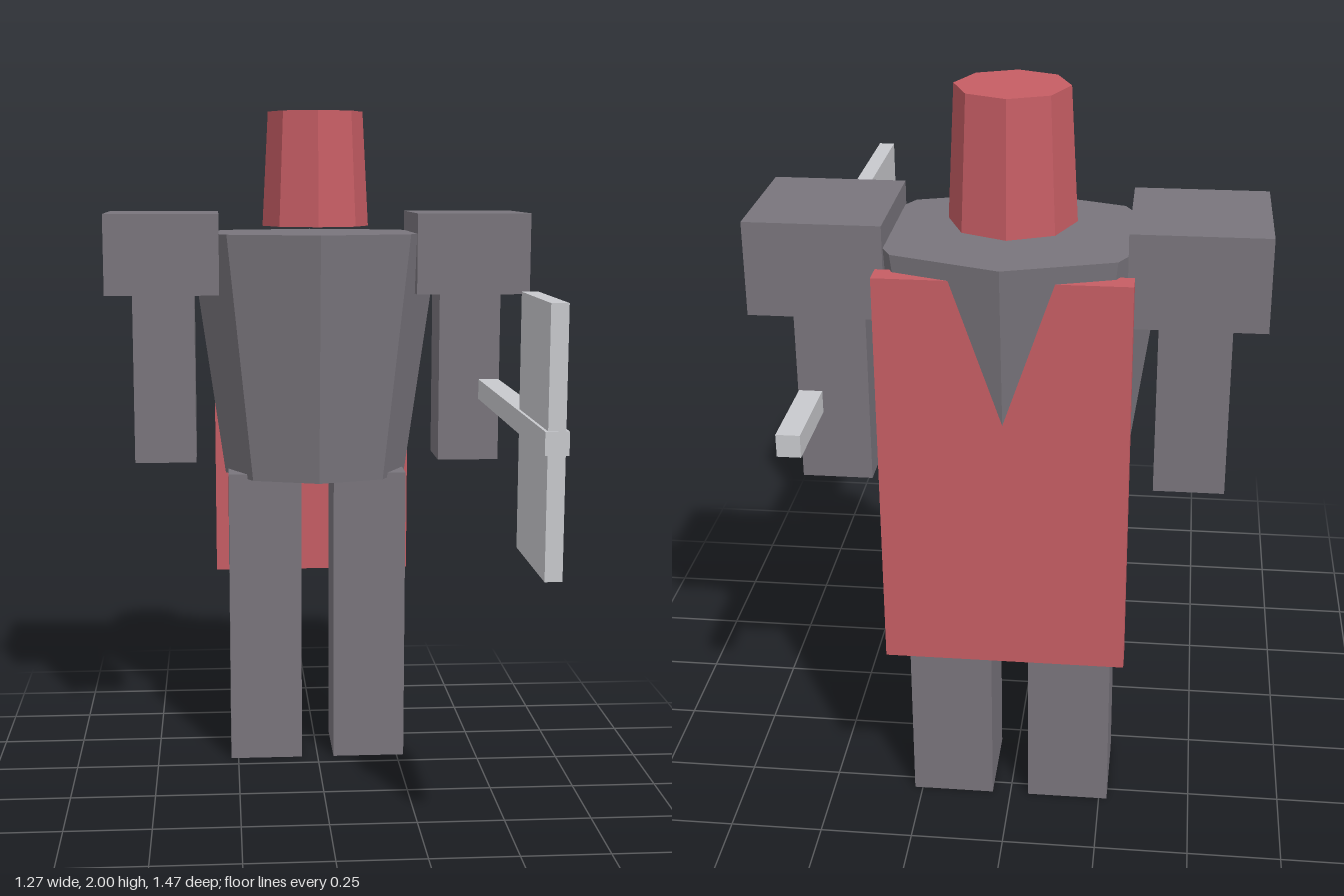
import * as THREE from 'three';

const flat = (name, color) => {
  const m = new THREE.MeshStandardMaterial({ color });
  m.name = name;
  m.flatShading = true;
  return m;
};

export function createModel() {
  const model = new THREE.Group();
  model.name = 'knight';
  const armour = flat('dark grey armour', 0x79757c);
  const red = flat('red cloth', 0xc65d64);
  const steel = flat('pale steel', 0xc8c9cd);

  const add = (name, geometry, material, x, y, z) => {
    const mesh = new THREE.Mesh(geometry, material);
    mesh.name = name;
    mesh.position.set(x, y, z);
    model.add(mesh);
    return mesh;
  };
  // Box given by its [min, max] range on each axis
  const box = (name, material, [x0, x1], [y0, y1], [z0, z1]) =>
    add(name, new THREE.BoxGeometry(x1 - x0, y1 - y0, z1 - z0), material,
      (x0 + x1) / 2, (y0 + y1) / 2, (z0 + z1) / 2);

  // Eight-sided tapered head and torso
  add('head', new THREE.CylinderGeometry(0.143, 0.161, 0.34, 8), red, 0, 1.83, -0.405);
  const torso = new THREE.CylinderGeometry(0.385, 0.28, 0.745, 8);
  torso.scale(1, 1, 0.77);
  add('torso', torso, armour, 0, 1.2675, -0.425);

  // Mirrored limbs
  for (const [side, s] of [['left', 1], ['right', -1]]) {
    const span = (a, b) => (s > 0 ? [a, b] : [-b, -a]);
    box(side + 'Shoulder', armour, span(0.295, 0.635), [1.46, 1.7], [-0.605, -0.245]);
    box(side + 'Arm', armour, span(0.37, 0.555), [0.95, 1.46], [-0.47, -0.295]);
    box(side + 'Leg', armour, span(0.05, 0.272), [0, 0.91], [-0.543, -0.302]);
  }

  // Cape on the back
  box('cape', red, [-0.312, 0.312], [0.535, 1.595], [-0.676, -0.615]);

  // Axe pointing forward from the left hand
  box('axeShaft', steel, [0.492, 0.553], [1.138, 1.198], [-0.732, 0.735]);
  box('axeBlade', steel, [0.5, 0.545], [0.82, 1.51], [0.345, 0.729]);

  return model;
}
